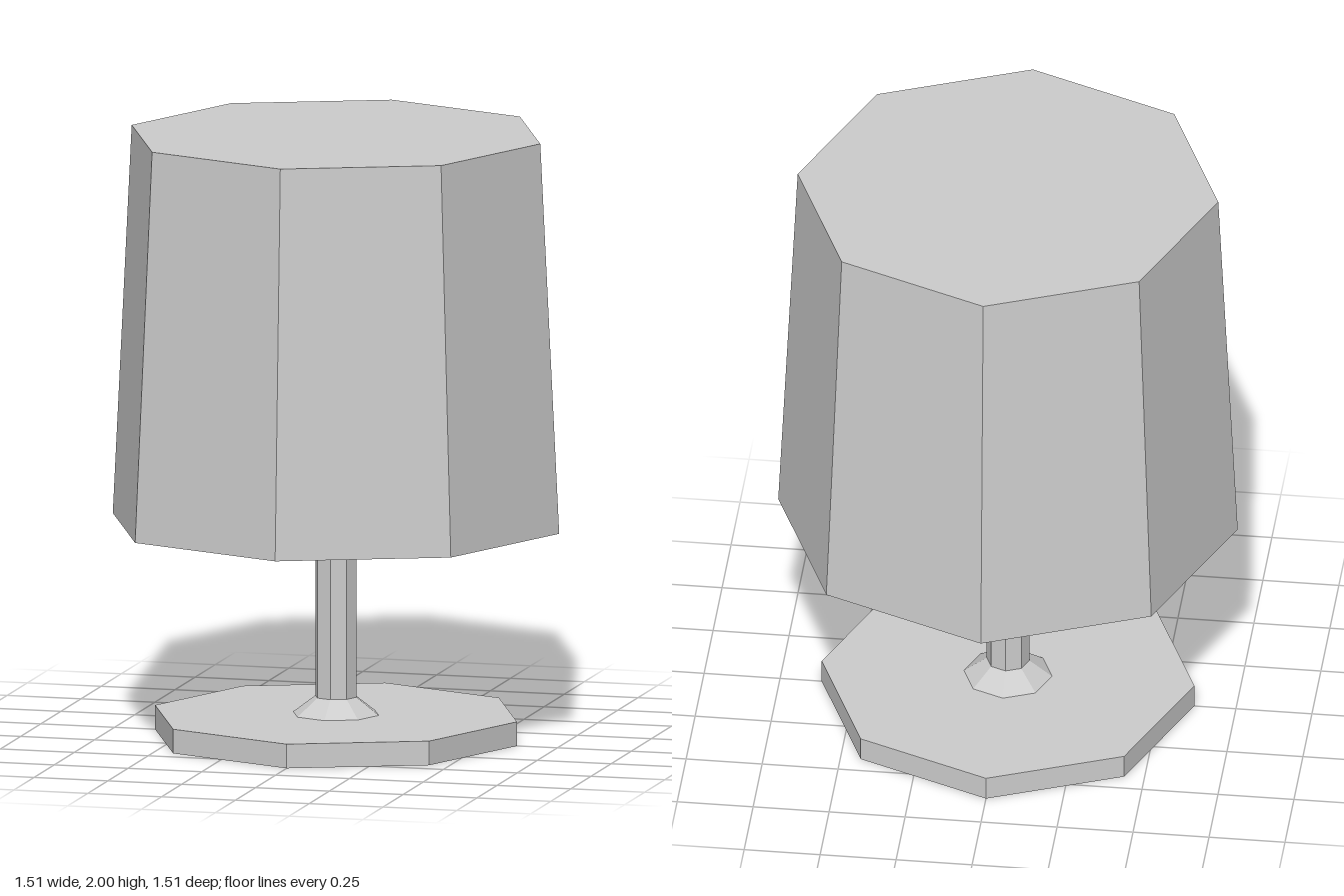
import * as THREE from 'three';

export function createModel() {
  const model = new THREE.Group();
  model.name = 'tableLamp';

  const grey = new THREE.MeshStandardMaterial({ color: 0xcccccc, flatShading: true });
  grey.name = 'light grey';

  // Eight-sided tapered section standing between two heights
  function section(name, topRadius, bottomRadius, y0, y1) {
    const geometry = new THREE.CylinderGeometry(topRadius, bottomRadius, y1 - y0, 8);
    const mesh = new THREE.Mesh(geometry, grey);
    mesh.name = name;
    mesh.position.y = (y0 + y1) / 2;
    model.add(mesh);
  }

  section('base', 0.613, 0.613, 0, 0.08);
  section('collar', 0.07, 0.145, 0.08, 0.137);
  section('stem', 0.07, 0.07, 0.137, 0.71);
  section('shade', 0.692, 0.756, 0.71, 2);

  return model;
}
